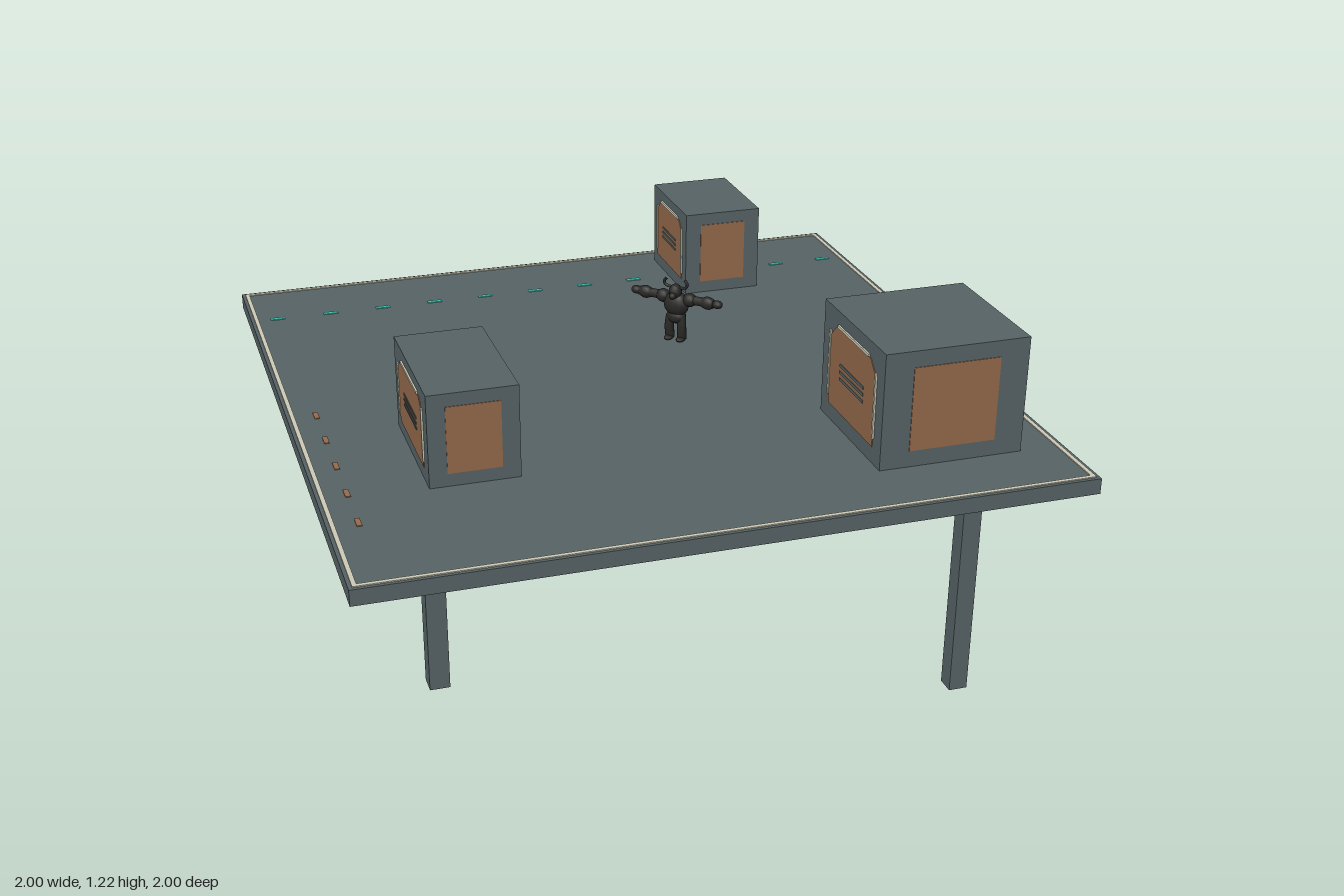
import * as THREE from 'three';

const mat = (name, color) => {
  const m = new THREE.MeshStandardMaterial({ color });
  m.name = name;
  return m;
};

export function createModel() {
  const steel = mat('slate steel', 0x586466);
  const rust = mat('rust orange', 0x966b4c);
  const teal = mat('teal marking', 0x3fc4b0);
  const cream = mat('cream trim', 0xcfccb8);
  const hide = mat('dark hide', 0x2b2a28);

  const model = new THREE.Group();
  model.name = 'platformArena';

  const add = (parent, name, geo, material, x = 0, y = 0, z = 0) => {
    const m = new THREE.Mesh(geo, material);
    m.name = name;
    m.position.set(x, y, z);
    parent.add(m);
    return m;
  };
  const box = (parent, name, material, w, h, d, x, y, z) =>
    add(parent, name, new THREE.BoxGeometry(w, h, d), material, x, y, z);

  // Deck slab and the thin trim running round its top edge
  const TOP = 0.88, BASE = 0.835;
  box(model, 'deck', steel, 2, TOP - BASE, 2, 0, (TOP + BASE) / 2, 0);
  for (const s of [-1, 1]) {
    box(model, 'edgeTrim', cream, 1.98, 0.004, 0.012, 0, TOP + 0.001, s * 0.984);
    box(model, 'edgeTrim', cream, 0.012, 0.004, 1.956, s * 0.984, TOP + 0.001, 0);
  }

  // Legs of four different lengths: x, z, foot height
  for (const [x, z, foot] of [[0.75, -0.75, 0], [0.75, 0.75, 0.135], [-0.75, 0.75, 0.42], [-0.75, -0.75, 0.535]]) {
    box(model, 'leg', steel, 0.054, BASE - foot, 0.054, x, (BASE + foot) / 2, z);
  }

  // Painted dashes on the deck
  for (let i = 0; i < 12; i++) {
    box(model, 'tealDash', teal, 0.046, 0.003, 0.015, -0.918 + i * 0.167, TOP + 0.001, -0.755);
  }
  for (let i = 0; i < 5; i++) {
    box(model, 'rustDash', rust, 0.014, 0.003, 0.042, -0.918, TOP + 0.001, i * 0.167);
  }

  // Panel with its two upper corners cut off, facing +z
  const chamferedPanel = (w, h, cut) => {
    const s = new THREE.Shape();
    s.moveTo(-w / 2, -h / 2);
    s.lineTo(w / 2, -h / 2);
    s.lineTo(w / 2, h / 2 - cut);
    s.lineTo(w / 2 - cut, h / 2);
    s.lineTo(-w / 2 + cut, h / 2);
    s.lineTo(-w / 2, h / 2 - cut);
    s.closePath();
    return new THREE.ExtrudeGeometry(s, { depth: 0.002, bevelEnabled: false });
  };

  // Crates: plain panels front and back, vented panels with trim on the sides
  const crate = (x, z, w, h, d) => {
    const g = new THREE.Group();
    g.name = 'crate';
    g.position.set(x, TOP + h / 2, z);
    box(g, 'crateBody', steel, w, h, d, 0, 0, 0);
    for (const s of [-1, 1]) {
      box(g, 'plainPanel', rust, w * 0.6, h * 0.72, 0.002, 0, 0, s * (d / 2 + 0.001));
      const side = new THREE.Group();
      side.name = 'ventedSide';
      side.position.x = s * w / 2;
      side.rotation.y = s * Math.PI / 2;
      add(side, 'ventedPanel', chamferedPanel(d * 0.74, h * 0.72, h * 0.11), rust);
      for (const k of [-1, 0, 1]) {
        box(side, 'ventSlot', steel, d * 0.39, h * 0.025, 0.002, 0, h * 0.06 * k, 0.003);
      }
      for (const k of [-1, 1]) {
        box(side, 'uprightTrim', cream, 0.008, h * 0.57, 0.005, k * d * 0.377, 0, 0.0025);
      }
      box(side, 'topTrim', cream, d * 0.51, 0.008, 0.005, 0, h * 0.375, 0.0025);
      g.add(side);
    }
    model.add(g);
  };
  crate(-0.583, 0.33, 0.248, 0.265, 0.415);
  crate(0.664, 0.58, 0.415, 0.335, 0.412);
  crate(0.498, -0.75, 0.246, 0.265, 0.33);

  // Horned figure with its arms held out
  const fig = new THREE.Group();
  fig.name = 'hornedFigure';
  fig.position.set(0.226, TOP, -0.232);
  fig.rotation.y = -Math.PI / 4;
  const blob = (name, x, y, z, rx, ry, rz) => {
    add(fig, name, new THREE.SphereGeometry(1, 12, 8), hide, x, y, z).scale.set(rx, ry, rz);
  };
  const limb = (name, pts, r, segs = 8) =>
    add(fig, name, new THREE.TubeGeometry(
      new THREE.CatmullRomCurve3(pts.map(p => new THREE.Vector3(...p))), segs, r, 7), hide);

  blob('hips', 0, 0.078, 0, 0.032, 0.024, 0.023);
  blob('chest', 0, 0.118, 0, 0.042, 0.04, 0.028);
  blob('head', 0, 0.16, 0.008, 0.02, 0.024, 0.022);
  blob('muzzle', 0, 0.151, 0.026, 0.011, 0.011, 0.013);
  for (const s of [-1, 1]) {
    blob('foot', s * 0.02, 0.008, 0.008, 0.014, 0.008, 0.022);
    limb('leg', [[s * 0.018, 0.08, 0], [s * 0.021, 0.045, 0.004], [s * 0.02, 0.008, 0]], 0.015);
    blob('shoulder', s * 0.045, 0.137, 0, 0.023, 0.021, 0.02);
    limb('arm', [[s * 0.04, 0.138, 0], [s * 0.085, 0.138, 0], [s * 0.125, 0.138, 0]], 0.014);
    blob('forearm', s * 0.105, 0.138, 0, 0.026, 0.02, 0.017);
    blob('hand', s * 0.137, 0.139, 0, 0.017, 0.013, 0.014);
    limb('horn', [[s * 0.014, 0.172, 0.006], [s * 0.034, 0.176, 0.006],
      [s * 0.039, 0.188, 0.006], [s * 0.03, 0.2, 0.006]], 0.0045);
  }
  model.add(fig);

  return model;
}
